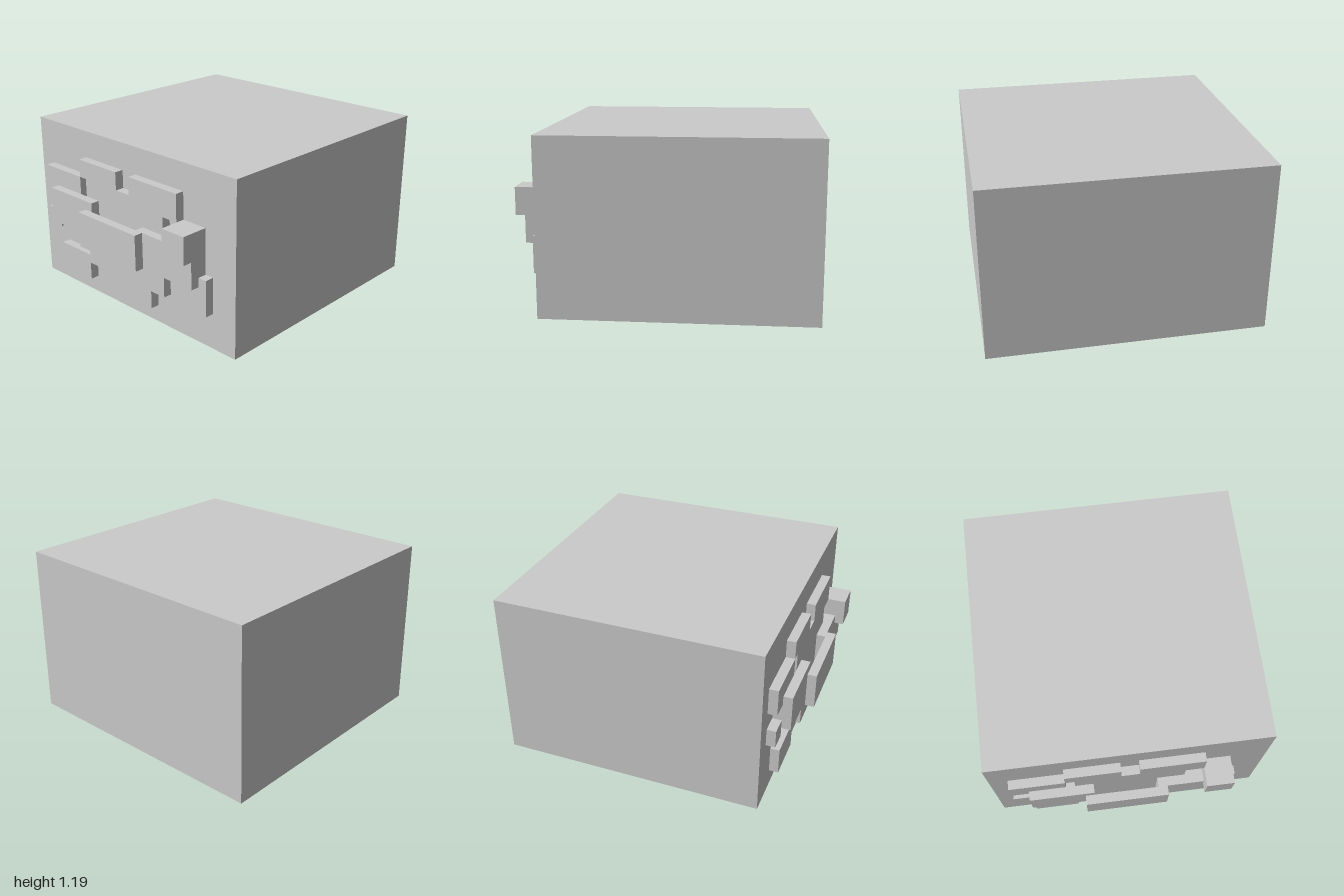
import * as THREE from 'three';

const U = 1 / 16; // modelling grid step
const FACE = -13; // plane of the relief side, in grid steps

export function createModel() {
  const model = new THREE.Group();
  const material = new THREE.MeshStandardMaterial({ color: 0xcccccc, flatShading: true });

  // Box from its limits in grid steps
  function block(name, parent, [x0, x1], [y0, y1], [z0, z1]) {
    const mesh = new THREE.Mesh(
      new THREE.BoxGeometry((x1 - x0) * U, (y1 - y0) * U, (z1 - z0) * U), material);
    mesh.position.set((x0 + x1) / 2 * U, (y0 + y1) / 2 * U, (z0 + z1) / 2 * U);
    mesh.name = name;
    parent.add(mesh);
  }

  block('body', model, [FACE, 16], [0, 19], [-15, 15]);

  // Stepped plates on the -x side: name, inner depth, outer depth, y range, z range
  const relief = new THREE.Group();
  relief.name = 'sideRelief';
  model.add(relief);
  const plates = [
    // First layer, against the body
    ['mainPlate', 0, 1, [4, 14], [-6, 6]],
    ['backStrip', 0, 1, [8, 11], [-11, -6]],
    ['frontStrip', 0, 1, [8, 11], [6, 11]],
    ['upperBackPlate', 0, 1, [11, 14], [-13, -7]],
    ['topBackPlate', 0, 1, [14, 16], [-7, -1]],
    ['topFrontPlate', 0, 1, [13, 16], [1, 8]],
    ['smallBackPlate', 0, 1, [7, 9], [-13, -11]],
    ['lowerBackPlate', 0, 1, [2, 5], [-11, -6]],
    ['lowerMiddlePlate', 0, 1, [2, 4], [-2, 4]],
    ['lowerFrontPlate', 0, 1, [4, 8], [7, 12]],
    // Second layer
    ['raisedBackPlate', 1, 2, [8, 12], [-11, -4]],
    ['raisedFrontPlate', 1, 2, [7, 11], [3, 11]],
    // Outermost layer
    ['outerPlate', 2, 3, [7, 11], [-5, 4]],
    ['projectingCube', 0, 3, [10, 13], [8, 11]],
  ];
  for (const [name, d0, d1, y, z] of plates) {
    block(name, relief, [FACE - d1, FACE - d0], y, z);
  }
  return model;
}
